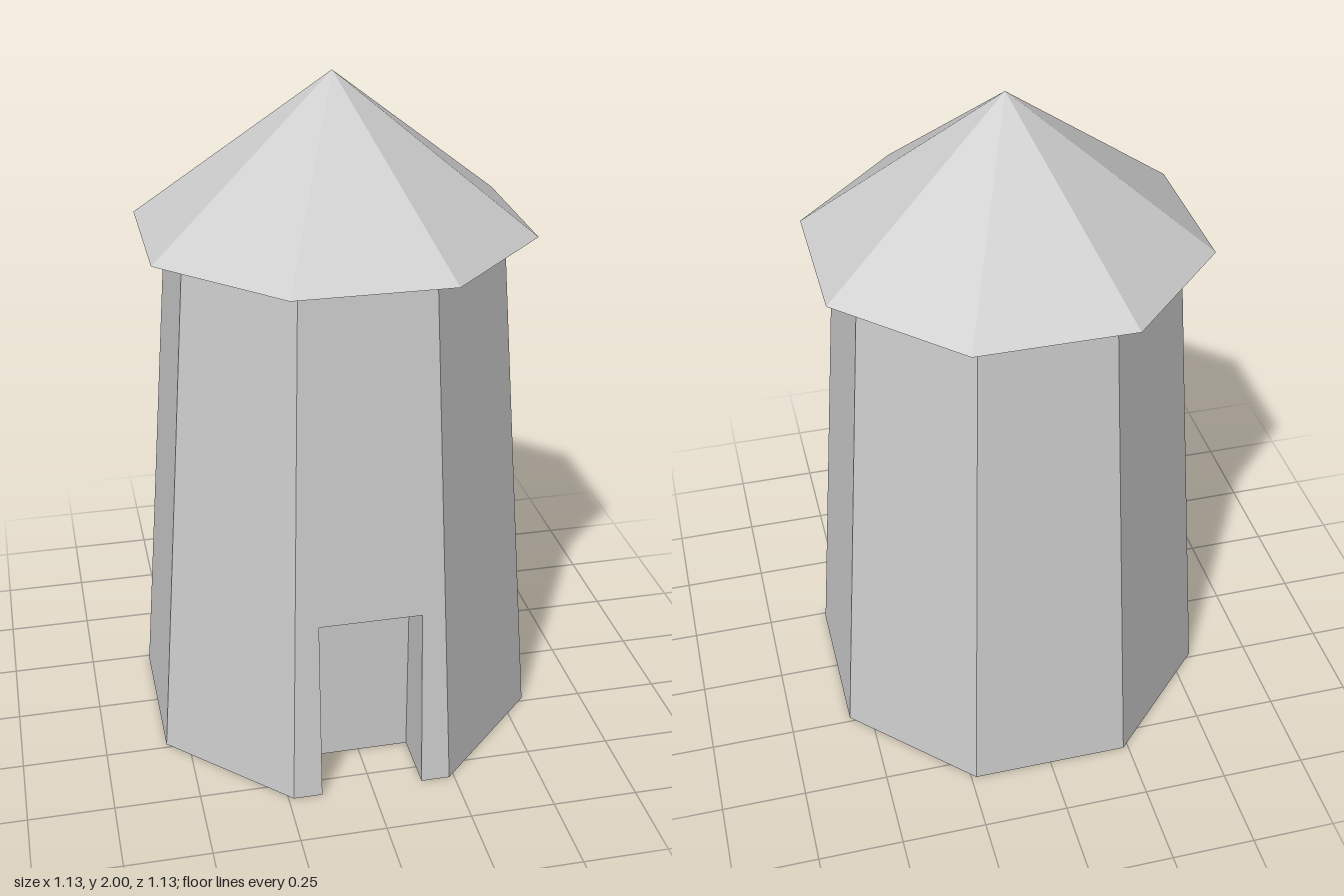
import * as THREE from 'three';

const EIGHTH = Math.PI / 8;
const BASE = 0.567, TOP = 0.455, HEIGHT = 1.54; // distance from axis to wall, wall height
const DOOR_W = 0.15, DOOR_H = 0.555, DOOR_BACK = 0.38;
const corner = (flat) => flat / Math.cos(EIGHTH);
const wallZ = (y) => BASE + (TOP - BASE) * y / HEIGHT;

function shapeOf(points) {
  return new THREE.ShapeGeometry(new THREE.Shape(points.map(([x, y]) => new THREE.Vector2(x, y))));
}

// Four corners, counter-clockwise from the visible side
function quad(a, b, c, d) {
  const g = new THREE.BufferGeometry();
  g.setAttribute('position', new THREE.Float32BufferAttribute([a, b, c, a, c, d].flat(), 3));
  g.computeVertexNormals();
  return g;
}

export function createModel() {
  const stone = new THREE.MeshStandardMaterial({ color: 0xcccccc, flatShading: true });
  stone.name = 'paleGrey';
  const model = new THREE.Group();
  model.name = 'tower';
  const add = (name, geometry, parent = model) => {
    const mesh = new THREE.Mesh(geometry, stone);
    mesh.name = name;
    parent.add(mesh);
    return mesh;
  };

  // Seven plain tapering walls
  add('walls', new THREE.CylinderGeometry(corner(TOP), corner(BASE), HEIGHT, 7, 1, true, EIGHTH, EIGHTH * 14))
    .position.y = HEIGHT / 2;

  // Front wall with the doorway cut out, leaned back to match the taper
  const b = BASE * Math.tan(EIGHTH), t = TOP * Math.tan(EIGHTH);
  const front = shapeOf([[-b, 0], [-DOOR_W, 0], [-DOOR_W, DOOR_H], [DOOR_W, DOOR_H],
    [DOOR_W, 0], [b, 0], [t, HEIGHT], [-t, HEIGHT]]);
  const pos = front.attributes.position;
  for (let i = 0; i < pos.count; i++) pos.setZ(i, wallZ(pos.getY(i)));
  front.computeVertexNormals();
  add('frontWall', front);

  // Underside, notched at the doorway
  const outline = [];
  for (let i = 0; i < 8; i++) {
    const a = EIGHTH * (5 + 2 * i);
    outline.push([Math.cos(a) * corner(BASE), Math.sin(a) * corner(BASE)]);
  }
  outline.push([DOOR_W, BASE], [DOOR_W, DOOR_BACK], [-DOOR_W, DOOR_BACK], [-DOOR_W, BASE]);
  add('underside', shapeOf(outline).rotateX(Math.PI / 2));

  // Flat top of the walls
  add('wallTop', new THREE.CircleGeometry(corner(TOP), 8, EIGHTH).rotateX(-Math.PI / 2)).position.y = HEIGHT;

  // Doorway recess
  const doorway = new THREE.Group();
  doorway.name = 'doorway';
  model.add(doorway);
  const w = DOOR_W, h = DOOR_H, k = DOOR_BACK, f = wallZ(h);
  add('doorBack', quad([-w, 0, k], [w, 0, k], [w, h, k], [-w, h, k]), doorway);
  add('doorSideRight', quad([-w, 0, BASE], [-w, 0, k], [-w, h, k], [-w, h, f]), doorway);
  add('doorSideLeft', quad([w, 0, k], [w, 0, BASE], [w, h, f], [w, h, k]), doorway);
  add('doorCeiling', quad([-w, h, k], [w, h, k], [w, h, f], [-w, h, f]), doorway);

  // Overhanging pointed roof, just clear of the walls
  const roofBase = 1.555;
  const roof = add('roof', new THREE.ConeGeometry(corner(0.54), 2 - roofBase, 8).rotateY(EIGHTH));
  roof.position.y = (2 + roofBase) / 2;

  return model;
}
